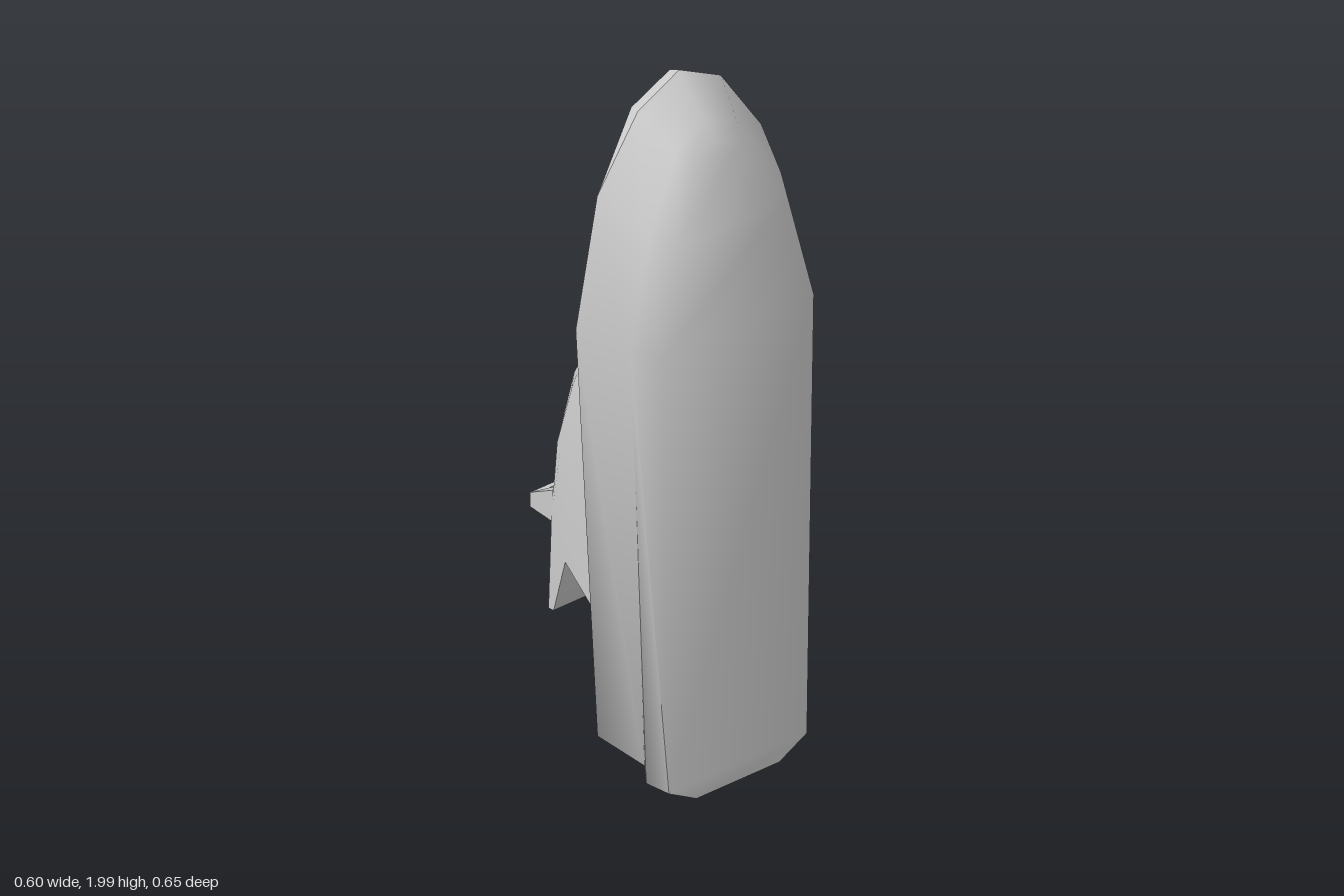
import * as THREE from 'three';
import { mergeGeometries, toCreasedNormals } from 'three/addons/utils/BufferGeometryUtils.js';

const material = new THREE.MeshStandardMaterial({ color: 0xcccccc, side: THREE.DoubleSide });

// Skin a grid of points: each row is one cross-section
function skin(rows, closed = false) {
  const n = rows[0].length, index = [];
  for (let r = 0; r < rows.length - 1; r++) {
    for (let i = 0; i < (closed ? n : n - 1); i++) {
      const j = (i + 1) % n;
      const a = r * n + i, b = r * n + j, c = a + n, d = b + n;
      index.push(a, c, b, b, c, d);
    }
  }
  const g = new THREE.BufferGeometry();
  g.setAttribute('position', new THREE.Float32BufferAttribute(rows.flat(2), 3));
  g.setIndex(index);
  return g;
}

const mirror = ([x, y, z]) => [-x, y, z];
// Full section from its +x half; the last point lies on the centre line
const both = (half) => [...half, ...half.slice(0, -1).reverse().map(mirror)];
// Pairs of opposite points, used to close a symmetric section
const pairs = (ring, count) =>
  Array.from({ length: count }, (_, k) => [ring[k], ring[ring.length - 1 - k]]);

function outline(half, Type = THREE.Shape) {
  const pts = [...half, ...half.slice().reverse().map(([x, y]) => [-x, y])];
  return new Type(pts.map(([x, y]) => new THREE.Vector2(x, y)));
}

function slab(outer, holes, z, depth) {
  const shape = outline(outer);
  shape.holes = holes.map((h) => outline(h, THREE.Path));
  return new THREE.ExtrudeGeometry(shape, { depth, bevelEnabled: false }).translate(0, 0, z);
}

export function createModel() {
  const model = new THREE.Group();
  const add = (name, geometry, crease = 0.6) => {
    const mesh = new THREE.Mesh(toCreasedNormals(geometry, crease), material);
    mesh.name = name;
    model.add(mesh);
    return mesh;
  };

  // Hull: rings from the bottom up to the deck, each from stern to bow
  const forwardMid = [[0.25, 1.37, 0.24], [0.19, 1.7, 0.235], [0.09, 1.87, 0.2], [0, 1.915, 0.19]];
  const hullRings = [
    [[0.12, 0.03, 0.325], [0.2, 0.08, 0.325], [0.22, 1.38, 0.325],
      [0.16, 1.68, 0.305], [0.07, 1.85, 0.24], [0, 1.88, 0.232]],
    [[0.12, 0.01, 0.24], [0.205, 0.06, 0.24], ...forwardMid],
    [[0.12, 0.065, 0.24], [0.21, 0.115, 0.24], ...forwardMid],
    [[0.13, 0.05, 0.088], [0.237, 0.12, 0.088], [0.3, 1.36, 0.088],
      [0.238, 1.73, 0.088], [0.12, 1.93, 0.088], [0, 2, 0.088]],
  ].map(both);
  add('hull', mergeGeometries([
    skin(hullRings, true),
    skin(pairs(hullRings[0], 6)),
    skin(pairs(hullRings[3], 6).reverse()),
  ]), 1.3);

  // Bulwark around the bow, tapering down to the deck
  add('bowBulwark', skin([
    [[0.238, 1.73, 0.088], [0.12, 1.93, 0.088], [0, 2, 0.088]],
    [[0.237, 1.72, 0.085], [0.112, 1.915, 0.05], [0, 1.977, 0.05]],
    [[0.215, 1.71, 0.085], [0.095, 1.89, 0.05], [0, 1.945, 0.05]],
    [[0.215, 1.71, 0.09], [0.095, 1.88, 0.09], [0, 1.935, 0.09]],
  ].map(both)));

  // Raised deck with a foredeck recess and the cockpit opening
  const cockpit = [[0.165, 0.47], [0.155, 0.2], [0.105, 0.148]];
  const raised = slab(
    [[0.09, 1.61], [0.18, 1.47], [0.237, 1.08], [0.205, 0.14], [0.13, 0.08]],
    [[[0.075, 1.56], [0.155, 1.43], [0.205, 1.02]], cockpit], 0.047, 0.045);
  const p = raised.attributes.position;
  for (let i = 0; i < p.count; i++) {
    if (p.getZ(i) > 0.06) continue;
    p.setX(i, p.getX(i) * 0.95);
    if (p.getY(i) > 1.4) p.setY(i, p.getY(i) - 0.025);
  }
  add('raisedDeck', raised);

  // Coaming around the cockpit
  add('cockpitCoaming', slab(
    [[0.19, 0.5], [0.18, 0.185], [0.12, 0.125]], [cockpit], 0.01, 0.04));

  // Cabin and flybridge: foot, side, upper side, shoulder, rim, floor edge, centre
  const cabin = [
    [[0.085, 1.38, 0.09], [0.075, 1.345, 0.05], [0.065, 1.34, 0.047], [0.05, 1.34, 0.046],
      [0.035, 1.34, 0.046], [0.03, 1.34, 0.046], [0, 1.34, 0.046]],
    [[0.17, 1.2, 0.09], [0.155, 1.2, 0.01], [0.13, 1.2, -0.045], [0.09, 1.2, -0.08],
      [0.05, 1.2, -0.095], [0.04, 1.2, -0.097], [0, 1.2, -0.1]],
    [[0.208, 1.04, 0.09], [0.19, 1.04, -0.03], [0.165, 1.04, -0.1], [0.12, 1.04, -0.145],
      [0.055, 1.04, -0.163], [0.045, 1.04, -0.164], [0, 1.04, -0.165]],
    [[0.212, 1.0, 0.09], [0.194, 1.0, -0.04], [0.17, 1.0, -0.11], [0.13, 1.0, -0.156],
      [0.06, 1.0, -0.175], [0.055, 0.98, -0.1], [0, 0.98, -0.1]],
    [[0.224, 0.8, 0.09], [0.205, 0.8, -0.06], [0.19, 0.8, -0.13], [0.167, 0.8, -0.172],
      [0.105, 0.8, -0.177], [0.1, 0.8, -0.1], [0, 0.8, -0.1]],
    [[0.23, 0.6, 0.09], [0.206, 0.6, -0.085], [0.192, 0.59, -0.14], [0.18, 0.58, -0.177],
      [0.137, 0.58, -0.177], [0.132, 0.58, -0.1], [0, 0.58, -0.1]],
    [[0.23, 0.46, 0.09], [0.206, 0.515, -0.085], [0.182, 0.31, -0.165], [0.172, 0.29, -0.2],
      [0.137, 0.31, -0.2], [0.132, 0.33, -0.165], [0, 0.33, -0.165]],
  ].map(both);
  const stern = pairs(cabin[cabin.length - 1], 6).map(([a, b]) => [b, a]);
  add('cabin', mergeGeometries([skin(cabin), skin(stern)]), 0.7);

  // Arch over the flybridge
  const archBase = [[0.181, 0.665, -0.17], [0.181, 0.57, -0.17], [0.135, 0.57, -0.17], [0.135, 0.665, -0.17]];
  const archTop = [[0.135, 0.54, -0.325], [0.135, 0.497, -0.325], [0.122, 0.497, -0.308], [0.122, 0.545, -0.308]];
  add('arch', skin([archBase, archTop, archTop.map(mirror), archBase.map(mirror)], true));

  // Helm console and seat
  const box = (name, size, pos, tilt = 0) => {
    const mesh = add(name, new THREE.BoxGeometry(...size));
    mesh.position.set(...pos);
    mesh.rotation.x = tilt;
  };
  box('helmConsole', [0.09, 0.13, 0.045], [0, 0.97, -0.165], 0.2);
  box('seatBack', [0.132, 0.035, 0.14], [0, 0.695, -0.165], 0.1);
  box('seatCushion', [0.132, 0.1, 0.045], [0, 0.75, -0.12]);

  return model;
}
